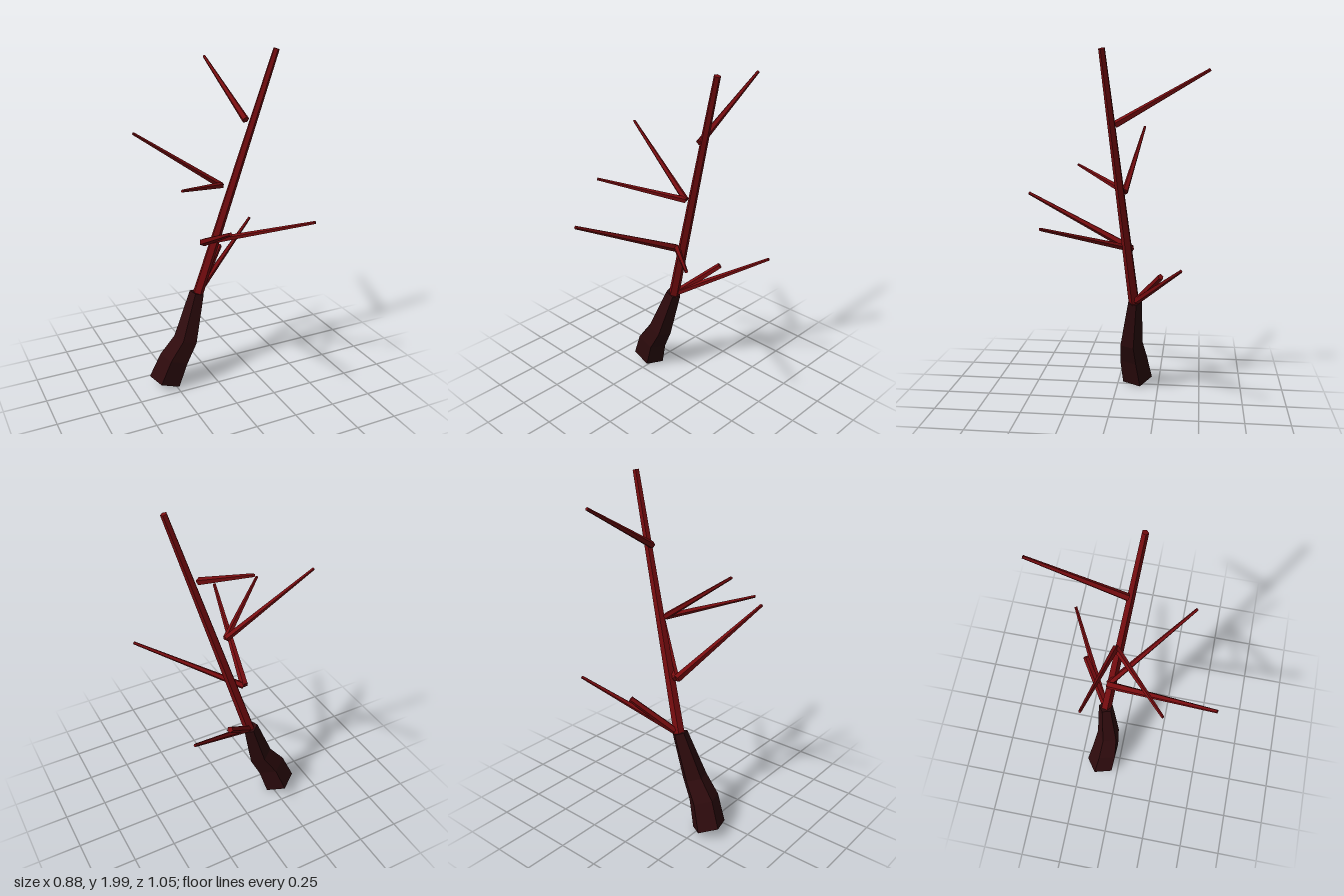
import * as THREE from 'three';

const SIDES = 5;

// Faceted closed tube through tilted pentagonal rings: [x, y, z, radius]
function ringSolid(rings, tilt, phase) {
  const pos = [], idx = [];
  for (const [x, y, z, r] of rings) {
    for (let i = 0; i < SIDES; i++) {
      const a = phase + (i / SIDES) * Math.PI * 2;
      const dx = r * Math.cos(a);
      pos.push(x + dx, y - tilt * dx, z + r * Math.sin(a));
    }
  }
  for (let j = 0; j < rings.length - 1; j++) {
    for (let i = 0; i < SIDES; i++) {
      const k = (i + 1) % SIDES;
      const a = j * SIDES + i, b = j * SIDES + k;
      idx.push(a, a + SIDES, b, b, a + SIDES, b + SIDES);
    }
  }
  // end caps
  const top = (rings.length - 1) * SIDES;
  for (let i = 1; i < SIDES - 1; i++) {
    idx.push(0, i, i + 1, top, top + i + 1, top + i);
  }
  const g = new THREE.BufferGeometry();
  g.setAttribute('position', new THREE.Float32BufferAttribute(pos, 3));
  g.setIndex(idx);
  const flat = g.toNonIndexed();
  flat.computeVertexNormals();
  return flat;
}

// Tapered five-sided stick between two points
function stick(name, from, to, r0, r1, material) {
  const a = new THREE.Vector3(...from), b = new THREE.Vector3(...to);
  const dir = b.clone().sub(a);
  const g = new THREE.CylinderGeometry(r1, r0, dir.length(), SIDES).toNonIndexed();
  g.computeVertexNormals();
  const mesh = new THREE.Mesh(g, material);
  mesh.name = name;
  mesh.position.copy(a).add(b).multiplyScalar(0.5);
  mesh.quaternion.setFromUnitVectors(new THREE.Vector3(0, 1, 0), dir.normalize());
  return mesh;
}

export function createModel() {
  const bark = new THREE.MeshStandardMaterial({ color: 0x2e0b0d });
  bark.name = 'dark bark';
  const red = new THREE.MeshStandardMaterial({ color: 0x780c0f });
  red.name = 'red wood';

  const model = new THREE.Group();
  model.name = 'bareTree';

  // Thick leaning foot of the trunk
  const foot = new THREE.Mesh(ringSolid([
    [-0.3, 0.037, -0.112, 0.096],
    [-0.245, 0.19, -0.092, 0.087],
    [-0.172, 0.305, -0.086, 0.071],
    [-0.085, 0.58, -0.115, 0.044],
  ], 0.36, THREE.MathUtils.degToRad(55)), bark);
  foot.name = 'trunkFoot';
  model.add(foot);

  // Slender upper trunk
  model.add(stick('upperTrunk', [-0.085, 0.56, -0.115], [0.333, 1.992, 0.02], 0.033, 0.018, red));

  // Branches: base, tip, base radius, tip radius
  const branches = [
    ['topBranch', [0.18, 1.61, -0.03], [0.155, 1.893, -0.523], 0.021, 0.009],
    ['upperRightBranch', [0.05, 1.24, -0.07], [-0.435, 1.575, -0.143], 0.019, 0.008],
    ['upperFrontBranch', [0.05, 1.24, -0.07], [-0.32, 1.353, 0.248], 0.019, 0.008],
    ['middleFrontBranch', [-0.05, 0.9, -0.1], [-0.185, 1.195, 0.523], 0.024, 0.01],
    ['middleLeftBranch', [-0.045, 0.9, -0.1], [0.432, 1.09, 0.328], 0.02, 0.009],
    ['lowerLeftBranch', [-0.06, 0.59, -0.13], [0.405, 0.883, -0.392], 0.021, 0.009],
    ['lowerStub', [-0.06, 0.59, -0.13], [0.137, 0.785, -0.277], 0.022, 0.018],
  ];
  for (const [name, from, to, r0, r1] of branches) {
    model.add(stick(name, from, to, r0, r1, red));
  }
  return model;
}
